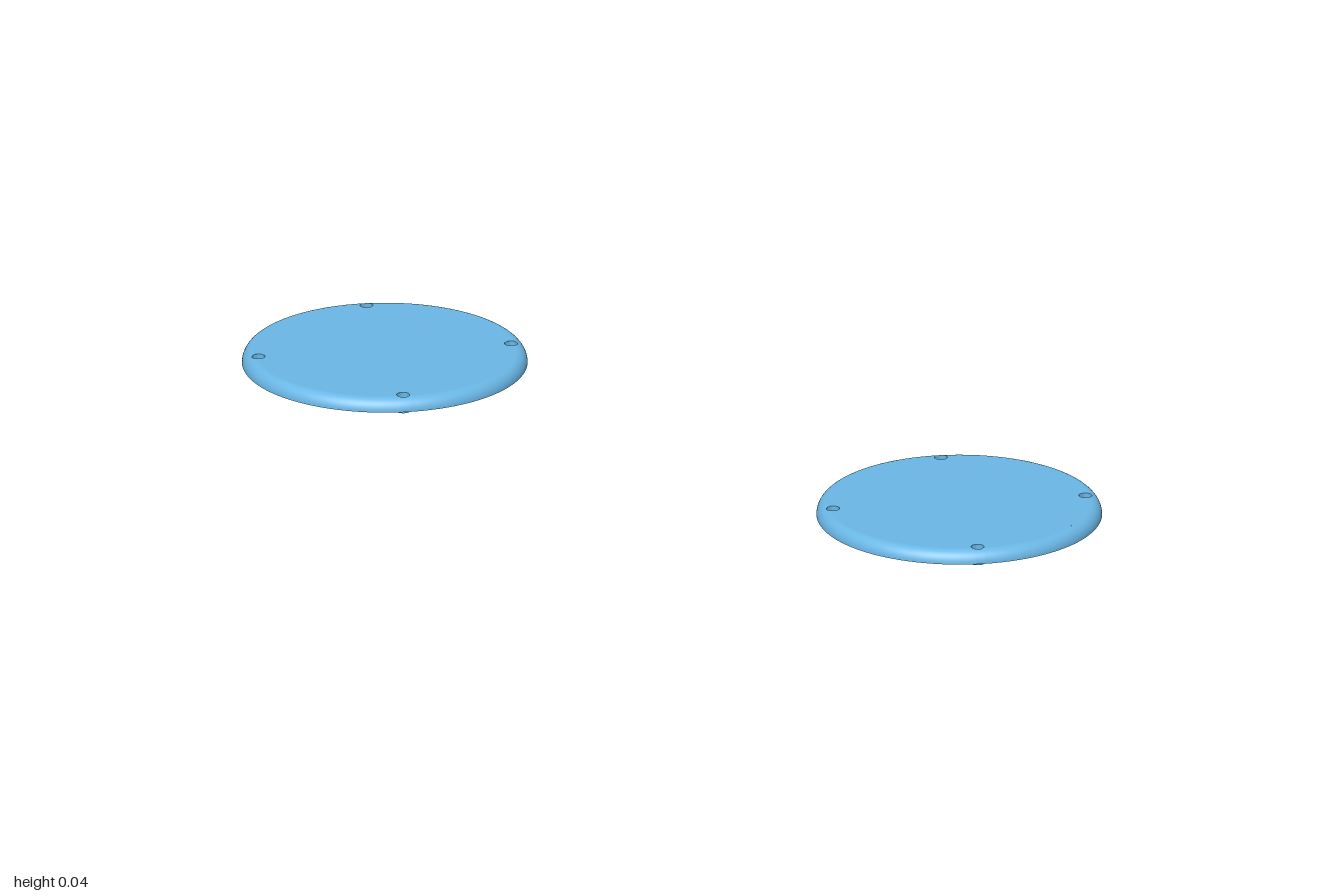
import * as THREE from 'three';
import { toCreasedNormals } from 'three/addons/utils/BufferGeometryUtils.js';

const RADIUS = 0.285, BOTTOM = 0.01, TOP = 0.036; // plate
const FLAT = 0.261;                               // radius of the flat top face
const HOLE = 0.013, BOSS = 0.0155;                // screw holes and their collars
const HOLE_DIST = 0.18 * Math.SQRT2;
const SPACING = 0.715;                            // plate centre to origin

const material = new THREE.MeshStandardMaterial({ color: 0x6ab7e6, side: THREE.DoubleSide });
const holeAngles = [0, 1, 2, 3].map((k) => Math.PI / 4 + (k * Math.PI) / 2);

// Half-angle at which a hole crosses the edge of the flat top
const cross = Math.acos((HOLE_DIST ** 2 + FLAT ** 2 - HOLE ** 2) / (2 * HOLE_DIST * FLAT));
const holeCross = Math.atan2(FLAT * Math.sin(cross), FLAT * Math.cos(cross) - HOLE_DIST);

// Height of the upper surface at a distance from the plate's centre
function topHeight(r) {
  const t = THREE.MathUtils.clamp((r - FLAT) / (RADIUS - FLAT), 0, 1);
  return BOTTOM + (TOP - BOTTOM) * Math.sqrt(1 - t * t);
}

// Flat top face, with the holes biting into its edge
function topFaceGeometry() {
  const shape = new THREE.Shape();
  for (const a of holeAngles) {
    const x = HOLE_DIST * Math.cos(a), y = HOLE_DIST * Math.sin(a);
    shape.absarc(x, y, HOLE, a - holeCross, a + holeCross, true);
    shape.absarc(0, 0, FLAT, a + cross, a + Math.PI / 2 - cross, false);
  }
  return new THREE.ShapeGeometry(shape, 32).rotateX(-Math.PI / 2).translate(0, TOP, 0);
}

// Underside with four round holes
function undersideGeometry() {
  const shape = new THREE.Shape().absarc(0, 0, RADIUS, 0, Math.PI * 2);
  for (const a of holeAngles) {
    shape.holes.push(new THREE.Path().absarc(
      HOLE_DIST * Math.cos(a), HOLE_DIST * Math.sin(a), HOLE, 0, Math.PI * 2, true));
  }
  return new THREE.ShapeGeometry(shape, 64).rotateX(Math.PI / 2).translate(0, BOTTOM, 0);
}

// Rounded rim, starting further out where a hole cuts into it
function rimGeometry() {
  const columns = [];
  for (const a of holeAngles) {
    for (let i = 0; i < 12; i++) {
      const p = cross * (i / 6 - 1);
      const far = HOLE_DIST * Math.cos(p) + Math.sqrt(HOLE ** 2 - (HOLE_DIST * Math.sin(p)) ** 2);
      columns.push([a + p, far]);
    }
    for (let i = 0; i < 30; i++) {
      columns.push([a + cross + (Math.PI / 2 - 2 * cross) * (i / 30), FLAT]);
    }
  }
  const steps = 12, n = columns.length, positions = [], index = [];
  columns.forEach(([angle, start], j) => {
    const s0 = Math.asin(Math.min(1, (start - FLAT) / (RADIUS - FLAT)));
    for (let i = 0; i <= steps; i++) {
      const s = s0 + (Math.PI / 2 - s0) * (i / steps);
      const r = FLAT + (RADIUS - FLAT) * Math.sin(s);
      const y = BOTTOM + (TOP - BOTTOM) * Math.cos(s);
      positions.push(r * Math.cos(angle), y, r * Math.sin(angle));
      if (i < steps) {
        const a = j * (steps + 1) + i, c = ((j + 1) % n) * (steps + 1) + i;
        index.push(a, c, a + 1, c, c + 1, a + 1);
      }
    }
  });
  const geometry = new THREE.BufferGeometry();
  geometry.setAttribute('position', new THREE.Float32BufferAttribute(positions, 3));
  geometry.setIndex(index);
  geometry.computeVertexNormals();
  return geometry;
}

// Collar lathed from its inner wall, lower face and outer wall
function collarGeometry(inner, outer, innerTop, low, segments) {
  const profile = [[inner, innerTop], [inner, low], [outer, low], [outer, BOTTOM]];
  return new THREE.LatheGeometry(profile.map(([r, y]) => new THREE.Vector2(r, y)), segments);
}

// Hole lining whose upper edge follows the rounded rim
function screwHoleGeometry(angle) {
  const geometry = collarGeometry(HOLE, BOSS, TOP, 0.002, 32);
  geometry.translate(HOLE_DIST * Math.cos(angle), 0, HOLE_DIST * Math.sin(angle));
  const p = geometry.attributes.position;
  for (let i = 0; i < p.count; i++) {
    if (p.getY(i) > 0.03) p.setY(i, topHeight(Math.hypot(p.getX(i), p.getZ(i))));
  }
  return toCreasedNormals(geometry, 0.6);
}

function createPlate(name) {
  const plate = new THREE.Group();
  plate.name = name;
  const add = (partName, geometry) => {
    const mesh = new THREE.Mesh(geometry, material);
    mesh.name = partName;
    plate.add(mesh);
  };
  add('topFace', topFaceGeometry());
  add('roundedRim', rimGeometry());
  add('underside', undersideGeometry());
  add('locatingRing', toCreasedNormals(collarGeometry(0.178, 0.196, BOTTOM, 0, 96), 0.6));
  holeAngles.forEach((a, i) => add('screwHole' + (i + 1), screwHoleGeometry(a)));
  return plate;
}

export function createModel() {
  const model = new THREE.Group();
  model.name = 'pairOfCoverPlates';
  for (const side of [1, -1]) {
    const plate = createPlate(side > 0 ? 'frontPlate' : 'backPlate');
    plate.position.z = side * SPACING;
    model.add(plate);
  }
  return model;
}
